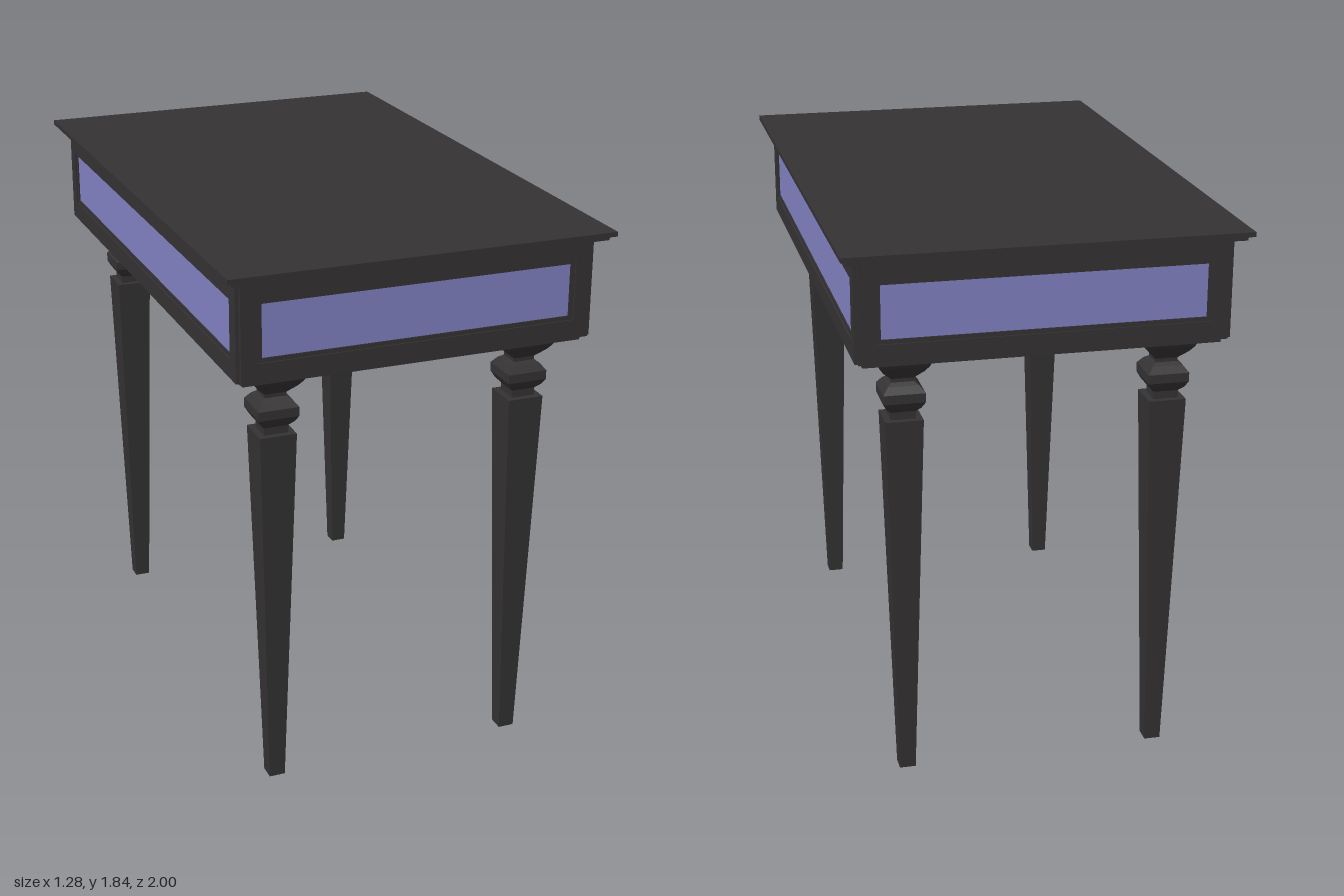
import * as THREE from 'three';

const dark = new THREE.MeshStandardMaterial({ color: 0x343233, flatShading: true });
const blue = new THREE.MeshStandardMaterial({ color: 0x8282c4, flatShading: true });

function add(parent, name, geometry, material = dark) {
  const mesh = new THREE.Mesh(geometry, material);
  mesh.name = name;
  parent.add(mesh);
  return mesh;
}

// Horizontal slab given by half sizes and its bottom and top heights
function slab(parent, name, hx, hz, y0, y1) {
  add(parent, name, new THREE.BoxGeometry(hx * 2, y1 - y0, hz * 2)).position.y = (y0 + y1) / 2;
}

// Rectangle path: half width and its bottom and top heights
function rect(Type, hw, y0, y1) {
  return new Type([[-hw, y0], [hw, y0], [hw, y1], [-hw, y1]].map(p => new THREE.Vector2(...p)));
}

// Flat frame with a rectangular opening
function frame(outer, inner, depth) {
  const shape = rect(THREE.Shape, ...outer);
  shape.holes.push(rect(THREE.Path, ...inner));
  return new THREE.ExtrudeGeometry(shape, { depth, bevelEnabled: false });
}

// One apron face: raised frame, stepped moulding and inset panel
function apronFace(halfWidth, distance, angle) {
  const face = new THREE.Group();
  face.name = 'apronFace';
  const opening = [halfWidth - 0.053, 1.546, 1.746];
  const panel = [halfWidth - 0.069, 1.56, 1.732];
  const parts = [
    add(face, 'apronFrame', frame([halfWidth, 1.485, 1.805], opening, 0.012)),
    add(face, 'panelMoulding', frame(opening, panel, 0.007)),
    add(face, 'inlayPanel', new THREE.ExtrudeGeometry(rect(THREE.Shape, ...panel), { depth: 0.003, bevelEnabled: false }), blue),
  ];
  parts.forEach(p => { p.position.z = distance; });
  face.rotation.y = angle;
  return face;
}

export function createModel() {
  const table = new THREE.Group();
  table.name = 'sideTable';

  // Stepped top, apron core and base
  slab(table, 'tableTop', 0.64, 1.0, 1.825, 1.84);
  slab(table, 'topMoulding', 0.622, 0.982, 1.81, 1.825);
  slab(table, 'apronCore', 0.583, 0.933, 1.48, 1.81);
  slab(table, 'apronBase', 0.57, 0.92, 1.467, 1.48);

  // Panelled faces on all four sides
  for (let i = 0; i < 4; i++) {
    const long = i % 2 === 1;
    table.add(apronFace(long ? 0.933 : 0.583, long ? 0.583 : 0.933, i * Math.PI / 2));
  }

  // Square turned legs: half width and height from foot to top
  const profile = [
    [0, 0], [0.027, 0], [0.061, 1.255], [0.04, 1.255], [0.04, 1.28], [0.055, 1.295],
    [0.067, 1.316], [0.067, 1.346], [0.05, 1.368], [0.036, 1.378], [0.036, 1.39],
    [0.064, 1.418], [0.078, 1.437], [0.092, 1.467], [0, 1.467],
  ].map(([h, y]) => new THREE.Vector2(h * Math.SQRT2, y));
  const legGeometry = new THREE.LatheGeometry(profile, 4, Math.PI / 4);
  for (const x of [-0.428, 0.428]) {
    for (const z of [-0.784, 0.784]) add(table, 'leg', legGeometry).position.set(x, 0, z);
  }
  return table;
}
